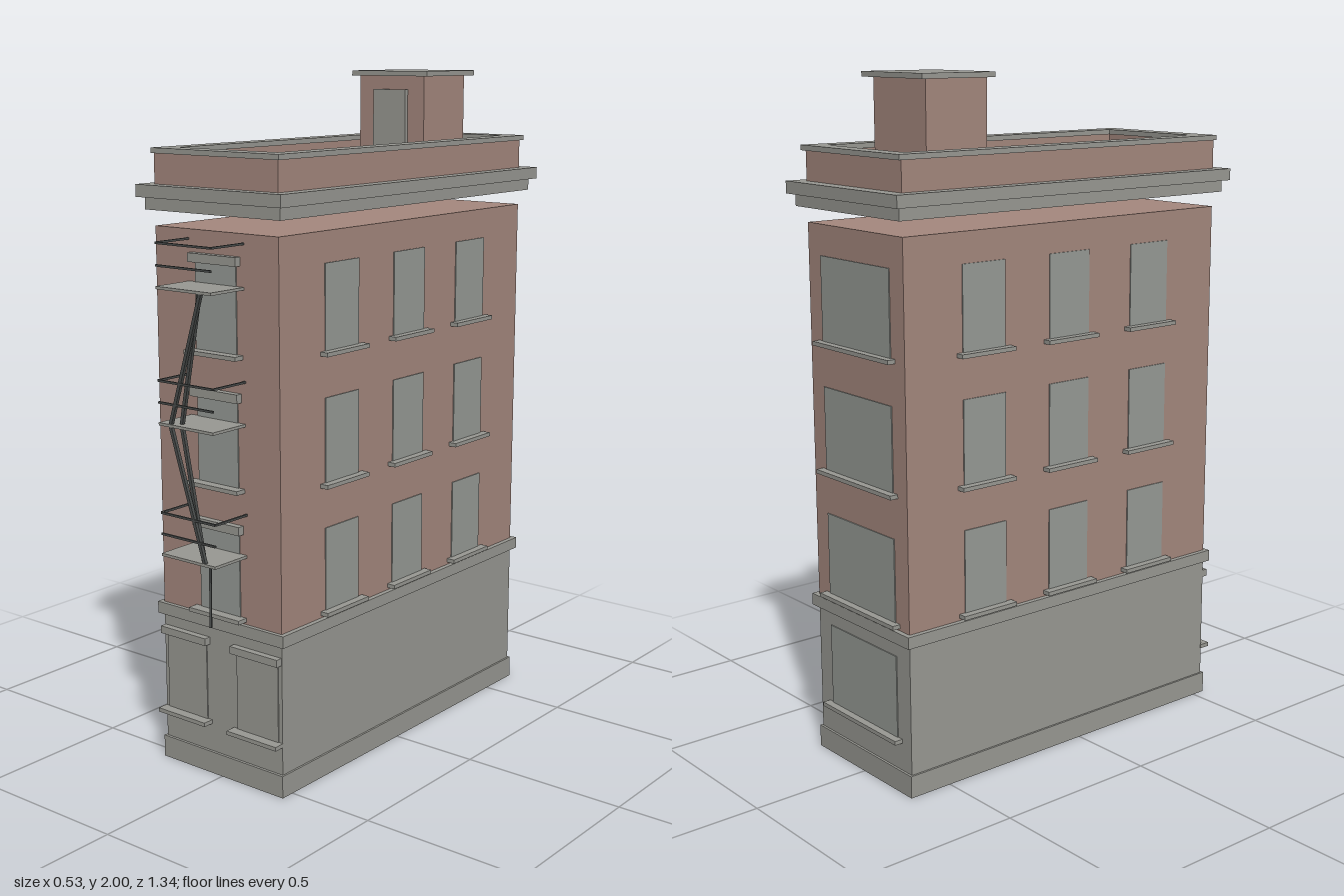
import * as THREE from 'three';

export function createModel() {
  const model = new THREE.Group();
  model.name = 'cornerBuilding';
  const mat = (name, color) => {
    const m = new THREE.MeshStandardMaterial({ color });
    m.name = name;
    return m;
  };
  const brick = mat('brick', 0xa5887e);
  const stone = mat('stone', 0x999993);
  const glass = mat('glass', 0x979b96);
  const iron = mat('iron', 0x4a4d4c);

  // Box given by its limits along each axis
  function box(name, material, x0, x1, y0, y1, z0, z1, parent = model) {
    const mesh = new THREE.Mesh(new THREE.BoxGeometry(x1 - x0, y1 - y0, z1 - z0), material);
    mesh.position.set((x0 + x1) / 2, (y0 + y1) / 2, (z0 + z1) / 2);
    mesh.name = name;
    parent.add(mesh);
    return mesh;
  }

  // Rectangular ring lying flat, between heights y0 and y1
  function ring(name, material, outer, inner, y0, y1) {
    const corners = ([x, zb, zf]) => [[-x, -zf], [x, -zf], [x, -zb], [-x, -zb]].map(p => new THREE.Vector2(...p));
    const shape = new THREE.Shape(corners(outer));
    shape.holes.push(new THREE.Path(corners(inner).reverse()));
    const geo = new THREE.ExtrudeGeometry(shape, { depth: y1 - y0, bevelEnabled: false });
    geo.rotateX(-Math.PI / 2);
    geo.translate(0, y0, 0);
    const mesh = new THREE.Mesh(geo, material);
    mesh.name = name;
    model.add(mesh);
  }

  // Thin straight bar between two points
  function bar(name, a, b, r, parent) {
    const p = new THREE.Vector3(...a), q = new THREE.Vector3(...b);
    const mesh = new THREE.Mesh(new THREE.BoxGeometry(r * 2, r * 2, p.distanceTo(q)), iron);
    mesh.position.copy(p).add(q).multiplyScalar(0.5);
    mesh.lookAt(q);
    mesh.name = name;
    parent.add(mesh);
  }

  // Walls
  const W = 0.225, F = 0.535, B = -0.63;
  ring('plinth', stone, [0.231, -0.637, 0.543], [0.2, -0.605, 0.51], 0, 0.066);
  box('groundFloor', stone, -W, W, 0.045, 0.45, B, F);
  box('beltCourse', stone, -0.24, 0.24, 0.45, 0.485, -0.645, 0.547);
  box('upperFloors', brick, -W, W, 0.485, 1.585, B, F);

  // Cornice, parapet and roof
  box('corniceLower', stone, -0.246, 0.246, 1.63, 1.665, -0.655, 0.553);
  box('corniceUpper', stone, -0.264, 0.264, 1.665, 1.7, -0.674, 0.571);
  ring('parapet', brick, [W, B, F], [0.187, -0.597, 0.49], 1.7, 1.785);
  ring('parapetCap', stone, [0.232, -0.642, 0.541], [0.179, -0.589, 0.482], 1.785, 1.8);

  // Stair house on the roof
  box('stairHouse', brick, -0.12, 0.12, 1.7, 1.985, -0.47, -0.26);
  box('stairHouseRoof', stone, -0.14, 0.14, 1.985, 2, -0.496, -0.245);
  box('stairHouseDoor', stone, -0.06, 0.06, 1.7, 1.945, -0.262, -0.247);

  // Upper windows, three floors
  const t = 0.003;
  for (const y of [0.5, 0.875, 1.25]) {
    const top = y + 0.247;
    for (const z of [0.268, -0.047, -0.36]) {
      for (const s of [-1, 1]) {
        const xa = s * (W - t), xb = s * (W + t), xs = s * 0.251;
        box('sideWindow', glass, Math.min(xa, xb), Math.max(xa, xb), y, top, z - 0.075, z + 0.075);
        box('sideSill', stone, Math.min(xa, xs), Math.max(xa, xs), y - 0.008, y + 0.004, z - 0.095, z + 0.095);
      }
    }
    box('frontWindow', glass, -0.075, 0.075, y, top, F - t, F + t);
    box('frontLintel', stone, -0.088, 0.088, top, top + 0.025, F - t, 0.555);
    box('frontSill', stone, -0.095, 0.095, y - 0.008, y + 0.004, F - t, 0.568);
  }

  // Wide windows on the back, four floors
  for (const y of [0.157, 0.5, 0.875, 1.25]) {
    box('backWindow', glass, -0.163, 0.163, y, y + 0.247, B - t, B + t);
    box('backSill', stone, -0.182, 0.182, y - 0.008, y + 0.004, -0.655, B + t);
  }

  // Paired ground-floor windows on the front
  for (const c of [-0.135, 0.135]) {
    box('shopWindow', stone, c - 0.077, c + 0.077, 0.157, 0.395, F - t, F + t);
    box('shopLintel', stone, c - 0.088, c + 0.088, 0.393, 0.415, F - t, 0.555);
    box('shopSill', stone, c - 0.092, c + 0.092, 0.15, 0.162, F - t, 0.568);
  }

  // Fire escape: landings with rails, two flights and a drop ladder
  const escape = new THREE.Group();
  escape.name = 'fireEscape';
  model.add(escape);
  const levels = [0.685, 1.06, 1.437], Z = 0.663, X = 0.101;
  for (const y of levels) {
    box('landing', stone, -X, X, y - 0.004, y + 0.004, F, Z + 0.003, escape);
    bar('topRail', [-X, y + 0.121, Z], [X, y + 0.121, Z], 0.003, escape);
    bar('midRail', [-X, y + 0.06, Z], [X, y + 0.06, Z], 0.003, escape);
    for (const x of [-X, X]) bar('sideRail', [x, y + 0.121, F], [x, y + 0.121, Z], 0.003, escape);
  }
  for (const [i, s] of [[0, 1], [1, -1]]) {
    const y0 = levels[i], y1 = levels[i + 1];
    bar('stairStringer', [s * 0.06, y0, 0.66], [-s * 0.06, y1, 0.66], 0.005, escape);
    bar('stairStringer', [s * 0.037, y0, 0.64], [-s * 0.037, y1, 0.64], 0.005, escape);
  }
  bar('dropLadder', [0.078, 0.685, 0.66], [0.08, 0.51, 0.665], 0.003, escape);

  return model;
}
